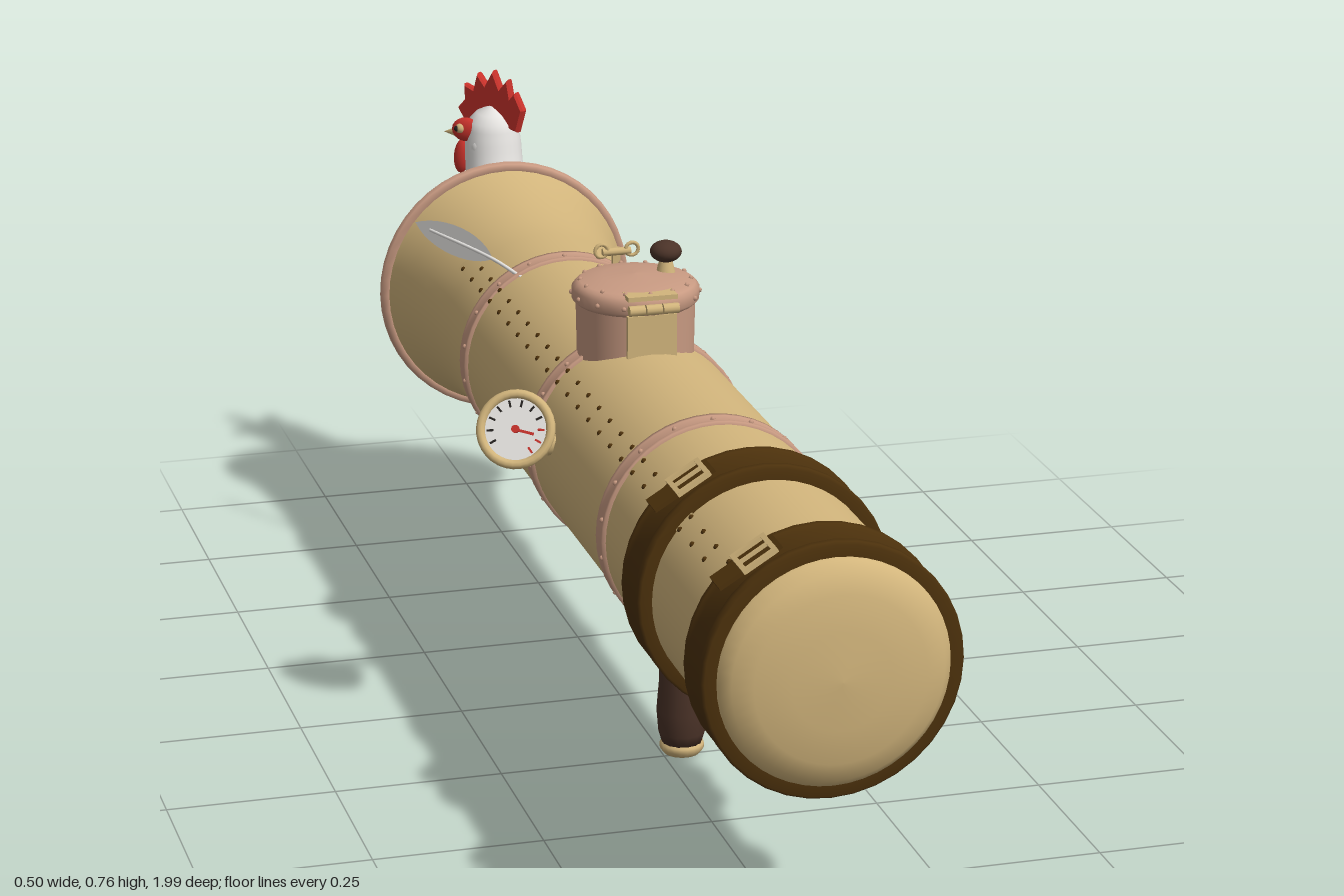
import * as THREE from 'three';
import { mergeGeometries } from 'three/addons/utils/BufferGeometryUtils.js';

const V = (x, y, z) => new THREE.Vector3(x, y, z);
const CX = 0.03, CY = 0.408, R = 0.163; // barrel axis and radius

function material(name, color, side = THREE.FrontSide) {
  const m = new THREE.MeshStandardMaterial({ color, side });
  m.name = name;
  return m;
}

export function createModel() {
  const root = new THREE.Group();
  root.name = 'birdLauncher';
  const brass = material('brass', 0xd2b57c, THREE.DoubleSide);
  const copper = material('copper', 0xc89a82);
  const leather = material('leather', 0x4c310c);
  const wood = material('wood', 0x4b3328);
  const steel = material('steel', 0x7f868e);
  const white = material('white', 0xe6e4e1, THREE.DoubleSide);
  const red = material('red', 0xc8322b);
  const black = material('black', 0x25211f);

  function add(name, geo, mat, pos = [0, 0, 0], rot = [0, 0, 0], scale = [1, 1, 1], parent = root) {
    const m = new THREE.Mesh(geo, mat);
    m.name = name;
    m.position.set(...pos);
    m.rotation.set(...rot);
    m.scale.set(...scale);
    parent.add(m);
    return m;
  }
  const lathe = (pts, seg = 40, start = 0, len = Math.PI * 2) =>
    new THREE.LatheGeometry(pts.map(p => new THREE.Vector2(...p)), seg, start, len);
  // lathe turned so its axis follows z; points are [radius, z]
  const ring = (name, pts, mat, ...arc) =>
    add(name, lathe(pts, ...arc).rotateX(Math.PI / 2), mat, [CX, CY, 0]);
  const tube = (pts, r, seg = 16) =>
    new THREE.TubeGeometry(new THREE.CatmullRomCurve3(pts.map(p => V(...p))), seg, r, 8);
  const cyl = (r, h, seg = 20, r2 = r) => new THREE.CylinderGeometry(r, r2, h, seg);
  const ball = (r, w = 20, h = 14) => new THREE.SphereGeometry(r, w, h);
  // many small domed rivets in one mesh
  const rivets = (name, spots, mat, r = 0.004) =>
    add(name, mergeGeometries(spots.map(p => new THREE.SphereGeometry(r, 6, 4).translate(...p))), mat);
  // point on the barrel: angle measured from the top towards -x
  const onBarrel = (a, r, z) => [CX - Math.sin(a) * r, CY + Math.cos(a) * r, z];
  // tube whose radius changes along its path; points are [x, y, z, radius]
  function taperedTube(pts, seg, sides) {
    const path = new THREE.CatmullRomCurve3(pts.map(p => V(p[0], p[1], p[2])));
    const radii = new THREE.CatmullRomCurve3(pts.map(p => V(p[3], 0, 0)));
    const geo = new THREE.TubeGeometry(path, seg, 1, sides);
    const pos = geo.attributes.position, v = V(0, 0, 0);
    for (let i = 0; i <= seg; i++) {
      const t = path.getUtoTmapping(i / seg), c = path.getPoint(t);
      const r = Math.max(radii.getPoint(t).x, 0.001);
      for (let j = 0; j <= sides; j++) {
        const k = i * (sides + 1) + j;
        v.fromBufferAttribute(pos, k).sub(c).multiplyScalar(r).add(c);
        pos.setXYZ(k, v.x, v.y, v.z);
      }
    }
    geo.computeVertexNormals();
    return geo;
  }

  // Barrel: flared mouth at the back, domed cap at the front
  ring('barrel', [[0.205, -0.835], [0.196, -0.81], [0.184, -0.76], [0.174, -0.7], [0.167, -0.64],
    [R, -0.57], [R, 0], [R, 0.94]], brass, 48);
  ring('frontCap', [[0.166, 0.93], [0.166, 0.95], [0.161, 0.965], [0.148, 0.98], [0.12, 0.99],
    [0.07, 0.997], [0, 1]], brass, 48);
  ring('mouthRim', [[0.197, -0.83], [0.2, -0.842], [0.211, -0.842], [0.213, -0.836], [0.211, -0.825],
    [0.2, -0.822], [0.197, -0.83]], copper, 48);
  const rimSpots = [];
  for (let i = 0; i < 20; i++) rimSpots.push(onBarrel(i / 20 * Math.PI * 2, 0.205, -0.842));
  rivets('mouthRivets', rimSpots, copper);

  // Copper bands with rivets
  for (const z of [0.39, -0.02, -0.44]) {
    ring('copperBand', [[0.16, z - 0.018], [0.168, z - 0.018], [0.168, z - 0.011], [0.166, z - 0.009],
      [0.166, z + 0.009], [0.168, z + 0.011], [0.168, z + 0.018], [0.16, z + 0.018]], copper, 48);
    const spots = [];
    for (let i = 0; i < 18; i++) spots.push(onBarrel(i / 18 * Math.PI * 2, 0.166, z));
    rivets('bandRivets', spots, copper);
  }

  // Leather straps with raised edges, buckle and loose end
  for (const z of [0.605, 0.915]) {
    ring('leatherStrap', [[0.16, z - 0.045], [0.179, z - 0.045], [0.183, z - 0.04], [0.183, z - 0.03],
      [0.178, z - 0.026], [0.178, z + 0.026], [0.183, z + 0.03], [0.183, z + 0.04],
      [0.179, z + 0.045], [0.16, z + 0.045]], leather, 36);
    const buckle = new THREE.Group();
    buckle.name = 'buckle';
    buckle.position.set(...onBarrel(0.55, 0.185, z));
    buckle.rotation.z = 0.55;
    root.add(buckle);
    const bar = (w, d, x, dz) =>
      add('buckleBar', new THREE.BoxGeometry(w, 0.007, d), brass, [x, 0.004, dz], [0, 0, 0], [1, 1, 1], buckle);
    for (const s of [-1, 1]) { bar(0.007, 0.06, s * 0.024, 0); bar(0.05, 0.007, 0, s * 0.027); }
    bar(0.046, 0.005, 0, 0);
    add('strapEnd', new THREE.BoxGeometry(0.1, 0.006, 0.042), leather, [-0.015, 0, 0], [0, 0, 0], [1, 1, 1], buckle);
  }

  // Riveted seam along the barrel
  ring('seamStrip', [[R, -0.62], [0.1655, -0.62], [0.1655, 0.88], [R, 0.88]], brass, 6, Math.PI + 0.7, 0.2);
  const seamSpots = [];
  for (let z = -0.6; z < 0.88; z += 0.06)
    for (const a of [0.73, 0.87]) seamSpots.push(onBarrel(a, 0.165, z));
  rivets('seamRivets', seamSpots, leather, 0.0045);

  // Hatch on top
  const HZ = -0.02;
  add('hatchWall', lathe([[0.088, 0.53], [0.09, 0.628]], 32), copper, [CX, 0, HZ]);
  add('hatchLid', lathe([[0, 0.628], [0.09, 0.628], [0.096, 0.634], [0.096, 0.65], [0.09, 0.657],
    [0.084, 0.661], [0.05, 0.667], [0, 0.67]], 32), copper, [CX, 0, HZ]);
  const lidSpots = [];
  for (let i = 0; i < 14; i++) {
    const a = i / 14 * Math.PI * 2;
    lidSpots.push([CX + Math.sin(a) * 0.083, 0.661, HZ + Math.cos(a) * 0.083]);
    lidSpots.push([CX + Math.sin(a) * 0.096, 0.642, HZ + Math.cos(a) * 0.096]);
  }
  rivets('lidRivets', lidSpots, copper);
  add('knobStem', cyl(0.009, 0.025, 16, 0.015), brass, [0.08, 0.675, -0.03]);
  add('lidKnob', ball(0.024), wood, [0.08, 0.697, -0.03], [0, 0, 0], [1, 0.68, 1]);
  add('hingePlate', new THREE.BoxGeometry(0.076, 0.075, 0.008), brass, [CX, 0.594, 0.07]);
  add('hingeLeaf', new THREE.BoxGeometry(0.076, 0.007, 0.04), brass, [CX, 0.659, 0.057]);
  for (let i = -1; i <= 1; i++)
    add('hingeKnuckle', cyl(0.008, 0.024, 12), brass, [CX + i * 0.026, 0.643, 0.081], [0, 0, Math.PI / 2]);
  add('latchPlate', new THREE.BoxGeometry(0.024, 0.05, 0.012), brass, [CX, 0.615, -0.115]);
  add('latchArm', new THREE.BoxGeometry(0.012, 0.065, 0.008), brass, [CX, 0.645, -0.13]);
  add('latchCross', cyl(0.006, 0.044, 10), brass, [CX, 0.672, -0.128], [0, 0, Math.PI / 2]);
  for (const s of [-1, 1])
    add('latchEar', new THREE.TorusGeometry(0.01, 0.003, 6, 14), brass, [CX + s * 0.024, 0.675, -0.126]);

  // Pressure gauge on a bent pipe
  add('gaugePipe', tube([[-0.11, 0.45, 0.08], [-0.15, 0.45, 0.075], [-0.178, 0.46, 0.085],
    [-0.185, 0.48, 0.125]], 0.01), brass);
  add('pipeFlange', cyl(0.02, 0.012, 18), brass, [-0.13, 0.45, 0.079], [0, 0, Math.PI / 2]);
  const gauge = new THREE.Group();
  gauge.name = 'gauge';
  gauge.position.set(-0.192, 0.492, 0.135);
  gauge.lookAt(-0.192 - 0.37, 0.492 + 0.42, 0.135 + 0.83);
  root.add(gauge);
  const onGauge = (name, geo, mat, pos, rot) => add(name, geo, mat, pos, rot, [1, 1, 1], gauge);
  onGauge('gaugeCase', cyl(0.053, 0.04, 32, 0.046), brass, [0, 0, 0], [Math.PI / 2, 0, 0]);
  onGauge('gaugeBezel', new THREE.TorusGeometry(0.052, 0.007, 10, 32), brass, [0, 0, 0.02]);
  onGauge('gaugeDial', new THREE.CircleGeometry(0.048, 32), white, [0, 0, 0.0215]);
  for (let i = 0; i < 11; i++) {
    const a = -0.9 + i * 0.46, hot = i < 3;
    onGauge('gaugeMark', new THREE.BoxGeometry(0.01, 0.003, 0.002), hot ? red : black,
      [Math.cos(a) * 0.038, Math.sin(a) * 0.038, 0.022], [0, 0, a]);
  }
  onGauge('gaugeNeedle', new THREE.BoxGeometry(0.034, 0.004, 0.002), red, [0.011, -0.003, 0.024], [0, 0, -0.2]);
  onGauge('needleHub', cyl(0.006, 0.005, 12), red, [0, 0, 0.023], [Math.PI / 2, 0, 0]);

  // Loose feather caught on the barrel
  const fs = new THREE.Shape();
  fs.moveTo(0, 0);
  fs.bezierCurveTo(0.03, 0.035, 0.12, 0.035, 0.18, 0.004);
  fs.bezierCurveTo(0.14, -0.032, 0.04, -0.028, 0, 0);
  const along = V(-0.1, 0.022, -0.17).normalize();
  const face = along.clone().cross(V(0.15, 1, 0)).normalize();
  const feather = add('feather', new THREE.ShapeGeometry(fs, 12), white, [-0.078, 0.567, -0.475]);
  feather.quaternion.setFromRotationMatrix(new THREE.Matrix4().makeBasis(along, face.clone().cross(along), face));
  add('featherQuill', tube([[-0.045, 0.55, -0.42], [-0.078, 0.567, -0.475], [-0.15, 0.585, -0.6]], 0.003), white);

  // Pistol grip, trigger and mount
  add('grip', lathe([[0, 0.018], [0.03, 0.018], [0.035, 0.035], [0.038, 0.07], [0.034, 0.12], [0.034, 0.15],
    [0.037, 0.18], [0.036, 0.21], [0, 0.215]], 14), wood, [CX, 0, 0.24]);
  add('gripCap', lathe([[0, 0], [0.027, 0.001], [0.033, 0.009], [0.033, 0.016], [0.028, 0.02]], 20),
    brass, [CX, 0, 0.24]);
  const mount = new THREE.Shape([[0.08, 0.262], [0.08, 0.236], [0.11, 0.218], [0.2, 0.207], [0.29, 0.207],
    [0.325, 0.228], [0.33, 0.262]].map(p => new THREE.Vector2(-p[0], p[1])));
  add('gripMount', new THREE.ExtrudeGeometry(mount, { depth: 0.054, bevelEnabled: false })
    .rotateY(Math.PI / 2), steel, [CX - 0.027, 0, 0]);
  for (const z of [0.1, 0.31])
    add('mountBolt', cyl(0.012, 0.09, 14), steel, [CX, 0.24, z], [0, 0, Math.PI / 2]);
  add('triggerGuard', tube([[CX, 0.215, 0.2], [CX, 0.17, 0.185], [CX, 0.15, 0.145], [CX, 0.162, 0.105],
    [CX, 0.19, 0.09], [CX, 0.23, 0.1]], 0.006, 24), steel);
  add('trigger', tube([[CX, 0.22, 0.155], [CX, 0.19, 0.16], [CX, 0.17, 0.14]], 0.005), steel);

  // Rooster: body inside the mouth, neck rising over the rim
  add('roosterBody', taperedTube([[CX, 0.44, -0.46, 0.005], [CX, 0.4, -0.54, 0.06], [CX, 0.375, -0.66, 0.1],
    [CX, 0.41, -0.77, 0.088], [CX, 0.49, -0.845, 0.062], [CX, 0.57, -0.89, 0.049], [CX, 0.64, -0.908, 0.047],
    [CX, 0.68, -0.908, 0.038], [CX, 0.702, -0.906, 0.002]], 48, 24), white);
  for (const s of [-1, 1]) {
    add('wing', ball(0.08), white, [CX + s * 0.088, 0.385, -0.66], [-0.3, 0, 0], [0.25, 0.65, 1.1]);
    add('leg', cyl(0.008, 0.06, 8), brass, [CX + s * 0.045, 0.275, -0.73]);
    for (const a of [-0.5, 0, 0.5, Math.PI])
      add('toe', tube([[0, 0.004, 0], [-Math.sin(a) * 0.025, 0.01, -Math.cos(a) * 0.025],
        [-Math.sin(a) * 0.045, 0, -Math.cos(a) * 0.045]], 0.006, 6), brass, [CX + s * 0.045, 0.255, -0.745]);
  }

  // Head details, turned to one side; local front is -z
  const head = new THREE.Group();
  head.name = 'roosterHead';
  head.position.set(CX, 0.655, -0.91);
  head.rotation.y = 0.65;
  root.add(head);
  const onHead = (name, geo, mat, pos, rot, scale) => add(name, geo, mat, pos, rot, scale, head);
  const comb = new THREE.Shape([[-0.055, 0.01], [-0.066, 0.045], [-0.052, 0.07], [-0.042, 0.06], [-0.036, 0.09],
    [-0.02, 0.072], [-0.006, 0.101], [0.01, 0.074], [0.026, 0.092], [0.034, 0.064], [0.053, 0.07],
    [0.052, 0.045], [0.066, 0.03], [0.05, 0.008], [0, 0.02]].map(p => new THREE.Vector2(...p)));
  onHead('comb', new THREE.ExtrudeGeometry(comb, { depth: 0.008, bevelSize: 0.003, bevelThickness: 0.004,
    bevelSegments: 1 }).translate(0, 0, -0.004).rotateY(Math.PI / 2), red);
  onHead('beak', new THREE.ConeGeometry(0.019, 0.065, 12), brass, [0, -0.014, -0.073], [-Math.PI / 2 - 0.15, 0, 0]);
  for (const s of [-1, 1]) {
    onHead('wattle', ball(0.02, 14, 10), red, [s * 0.013, -0.05, -0.056], [0, 0, s * 0.15], [0.55, 1.45, 0.75]);
    onHead('eyePatch', ball(0.024, 16, 10), red, [s * 0.038, 0.006, -0.026], [0, s * -0.45, 0], [0.45, 0.85, 1]);
    onHead('eye', ball(0.009, 12, 8), brass, [s * 0.046, 0.009, -0.031]);
    onHead('pupil', ball(0.005, 10, 8), black, [s * 0.052, 0.009, -0.034]);
    onHead('earLobe', ball(0.011, 12, 8), white, [s * 0.043, -0.022, 0], [0, 0, 0], [0.6, 1.3, 1]);
  }
  return root;
}
